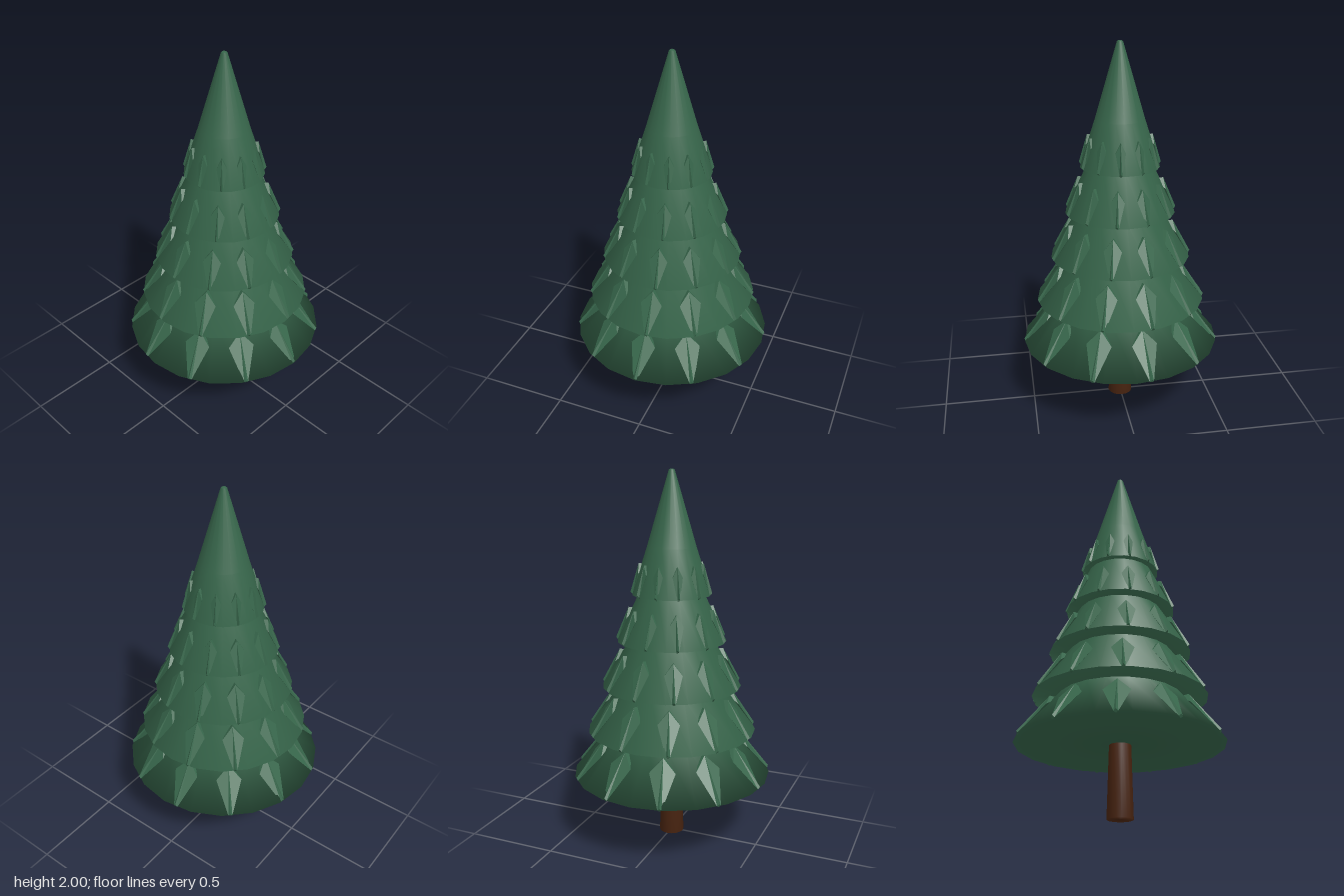
import * as THREE from 'three';

const TIERS = 5, SPIKES = 11, BASE_Y = 0.37, STEP = 0.2475;
const tierRadius = i => 0.54 - 0.0825 * i;
const tierY = i => BASE_Y + STEP * i;

// Point on a tier's slope, dy above its rim, pushed outwards by lift
const slopeRadius = (i, dy, lift = 0) => tierRadius(i) * (1 - 0.4 * dy / STEP) + lift;

// Kite-shaped branch tip lying on a tier's slope, pointing along +x
function branchGeometry(i) {
  const r = tierRadius(i), y = tierY(i);
  const peakH = 0.215 - 0.013 * i;
  const w = 0.125 * r, s = r / 0.54;
  const t = 0.011 * (0.5 + 0.5 * s);
  const P = (dy, lift, z) => new THREE.Vector3(slopeRadius(i, dy, lift), y + dy, z);
  const tipL = P(0, -0.004, t), tipR = P(0, -0.004, -t);
  const tipTop = P(0.012, 0.012, 0), tipLow = P(-0.007, -0.014, 0);
  const shoulderL = P(peakH * 0.68, 0.004, w), shoulderR = P(peakH * 0.68, 0.004, -w);
  const peak = P(peakH, 0.012 + 0.016 * s, 0);
  const back = P(peakH * 0.97, -0.03, 0);
  const faces = [
    [tipL, tipTop, peak], [tipL, peak, shoulderL],
    [tipR, peak, tipTop], [tipR, shoulderR, peak],
    [shoulderL, peak, back], [shoulderR, back, peak],
    [tipL, tipLow, tipTop], [tipLow, tipR, tipTop],
    [tipLow, tipL, shoulderL], [tipLow, shoulderR, tipR],
    [tipLow, shoulderL, back], [tipLow, back, shoulderR],
  ];
  // Turn every face away from the middle of the solid
  const mid = P(peakH * 0.55, 0, 0);
  const points = [];
  for (const [a, b, c] of faces) {
    const n = b.clone().sub(a).cross(c.clone().sub(a));
    const out = a.clone().add(b).add(c).divideScalar(3).sub(mid);
    points.push(...(n.dot(out) >= 0 ? [a, b, c] : [a, c, b]));
  }
  const g = new THREE.BufferGeometry().setFromPoints(points);
  g.computeVertexNormals();
  return g;
}

export function createModel() {
  const green = new THREE.MeshStandardMaterial({ color: 0x37664b });
  green.name = 'pine green';
  const brown = new THREE.MeshStandardMaterial({ color: 0x4a2511 });
  brown.name = 'bark brown';

  const tree = new THREE.Group();
  tree.name = 'pineTree';
  const add = (parent, name, geometry, material) => {
    const mesh = new THREE.Mesh(geometry, material);
    mesh.name = name;
    parent.add(mesh);
    return mesh;
  };
  const V = (x, y) => new THREE.Vector2(x, y);

  // Trunk, tapering slightly
  add(tree, 'trunk', new THREE.LatheGeometry([V(0, 0), V(0.067, 0), V(0.056, BASE_Y + 0.03)], 16), brown);

  // Stepped foliage with soft shading over the rims
  const profile = [V(0, BASE_Y)];
  for (let i = 0; i < TIERS; i++) {
    profile.push(V(tierRadius(i), tierY(i)));
    if (i < TIERS - 1) profile.push(V(slopeRadius(i, STEP), tierY(i + 1)));
  }
  profile.push(V(0.13, tierY(TIERS)), V(0.016, 1.995), V(0.01, 2), V(0, 2));
  add(tree, 'foliage', new THREE.LatheGeometry(profile, 20), green);

  // Rings of branch tips, each tier turned a little further
  for (let i = 0; i < TIERS; i++) {
    const ring = new THREE.Group();
    ring.name = 'branchRing' + (i + 1);
    const geometry = branchGeometry(i);
    for (let k = 0; k < SPIKES; k++) {
      const branch = add(ring, 'branchTip', geometry, green);
      branch.rotation.y = -k * 2 * Math.PI / SPIKES + i * Math.PI / 44;
    }
    tree.add(ring);
  }
  return tree;
}
